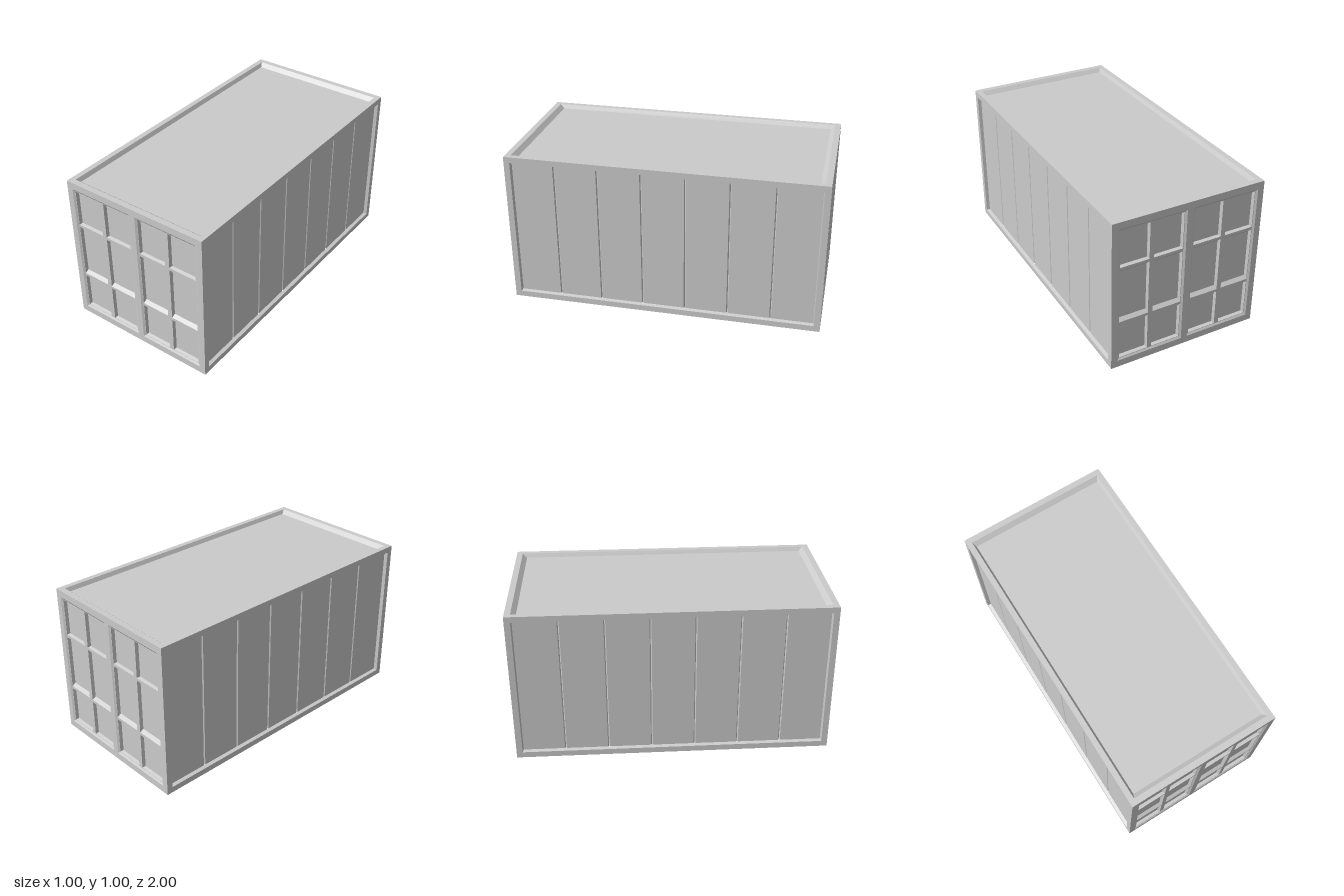
import * as THREE from 'three';
import { mergeGeometries } from 'three/addons/utils/BufferGeometryUtils.js';

const material = new THREE.MeshStandardMaterial({ color: 0xcccccc });

// A rectangle is [x0, y0, x1, y1]; faces are drawn in XY facing +z, d is depth below the face.
const corners = ([x0, y0, x1, y1], d) => [[x0, y0, -d], [x1, y0, -d], [x1, y1, -d], [x0, y1, -d]];
const inset = ([x0, y0, x1, y1], dx, dy) => [x0 + dx, y0 + dy, x1 - dx, y1 - dy];

function quads(list) {
  const positions = list.flatMap(([a, b, c, d]) => [a, b, c, a, c, d].flat());
  const geometry = new THREE.BufferGeometry();
  geometry.setAttribute('position', new THREE.Float32BufferAttribute(positions, 3));
  geometry.computeVertexNormals();
  return geometry;
}

// Sloping walls from a rectangle down to a smaller, deeper one
function walls(outer, inner, d0, d1) {
  const o = corners(outer, d0), i = corners(inner, d1);
  return quads([0, 1, 2, 3].map((k) => [o[k], o[(k + 1) % 4], i[(k + 1) % 4], i[k]]));
}

// Flat sheet with rectangular openings
function sheet(rect, holes, d) {
  const points = (r) => corners(r, 0).map(([x, y]) => new THREE.Vector2(x, y));
  const shape = new THREE.Shape(points(rect));
  shape.holes = holes.map((h) => new THREE.Path(points(h).reverse()));
  const geometry = new THREE.ShapeGeometry(shape).toNonIndexed();
  geometry.deleteAttribute('uv');
  return geometry.translate(0, 0, -d);
}

function add(group, name, geometries) {
  const mesh = new THREE.Mesh(mergeGeometries(geometries), material);
  mesh.name = name;
  group.add(mesh);
}

// End wall: frame, two shallow doors, each with two columns of three sunken panels
function doorEnd() {
  const group = new THREE.Group();
  const openings = [[-0.46, 0.045, -0.02, 0.955], [0.02, 0.045, 0.46, 0.955]];
  add(group, 'endFrame', [sheet([-0.5, 0, 0.5, 1], openings, 0)]);
  openings.forEach((opening, n) => {
    const door = inset(opening, 0.012, 0.012);
    const panels = [], parts = [], floors = [];
    for (const x of [door[0] + 0.003, door[0] + 0.223]) {
      for (const [y0, y1, slope] of [[0.06, 0.302, 0.006], [0.32, 0.68, 0.02], [0.698, 0.94, 0.006]]) {
        const panel = [x, y0, x + 0.19, y1];
        const floor = inset(panel, 0.006, slope);
        panels.push(panel);
        parts.push(walls(panel, floor, 0.008, 0.028));
        floors.push(sheet(floor, [], 0.028));
      }
    }
    const side = n ? 'right' : 'left';
    add(group, side + 'Door', [walls(opening, door, 0, 0.008), sheet(door, panels, 0.008), ...parts]);
    add(group, side + 'DoorPanels', floors);
  });
  return group;
}

// Long wall: frame around a sunken sheet divided by six narrow grooves
function sideWall() {
  const group = new THREE.Group();
  const opening = [-0.962, 0.038, 0.962, 0.962], depth = 0.022;
  const floor = inset(opening, 0.006, 0.006);
  add(group, 'sideFrame', [sheet([-1, 0, 1, 1], [opening], 0), walls(opening, floor, 0, depth)]);
  const profile = [[floor[0], depth]];
  for (let i = 0; i < 6; i++) {
    const x = (i - 2.5) * 0.275;
    profile.push([x - 0.006, depth], [x, depth + 0.008], [x + 0.006, depth]);
  }
  profile.push([floor[2], depth]);
  const strips = profile.slice(1).map(([x1, d1], i) => {
    const [x0, d0] = profile[i];
    return [[x0, floor[1], -d0], [x1, floor[1], -d1], [x1, floor[3], -d1], [x0, floor[3], -d0]];
  });
  add(group, 'sidePanels', [quads(strips)]);
  return group;
}

// Roof or underside: plain sunken sheet, softly sloped at the ends
function deck(name) {
  const group = new THREE.Group();
  const opening = [-0.465, -0.962, 0.465, 0.962];
  const floor = inset(opening, 0.014, 0.028);
  add(group, name + 'Frame', [sheet([-0.5, -1, 0.5, 1], [opening], 0), walls(opening, floor, 0, 0.025)]);
  add(group, name + 'Panel', [sheet(floor, [], 0.025)]);
  return group;
}

export function createModel() {
  const model = new THREE.Group();
  model.name = 'cargoContainer';
  const place = (name, part, position, rx, ry) => {
    part.name = name;
    part.position.set(...position);
    part.rotation.set(rx, ry, 0);
    model.add(part);
  };
  const q = Math.PI / 2;
  place('frontDoors', doorEnd(), [0, 0, 1], 0, 0);
  place('backDoors', doorEnd(), [0, 0, -1], 0, Math.PI);
  place('leftWall', sideWall(), [0.5, 0, 0], 0, q);
  place('rightWall', sideWall(), [-0.5, 0, 0], 0, -q);
  place('roof', deck('roof'), [0, 1, 0], -q, 0);
  place('underside', deck('underside'), [0, 0, 0], q, 0);
  return model;
}
